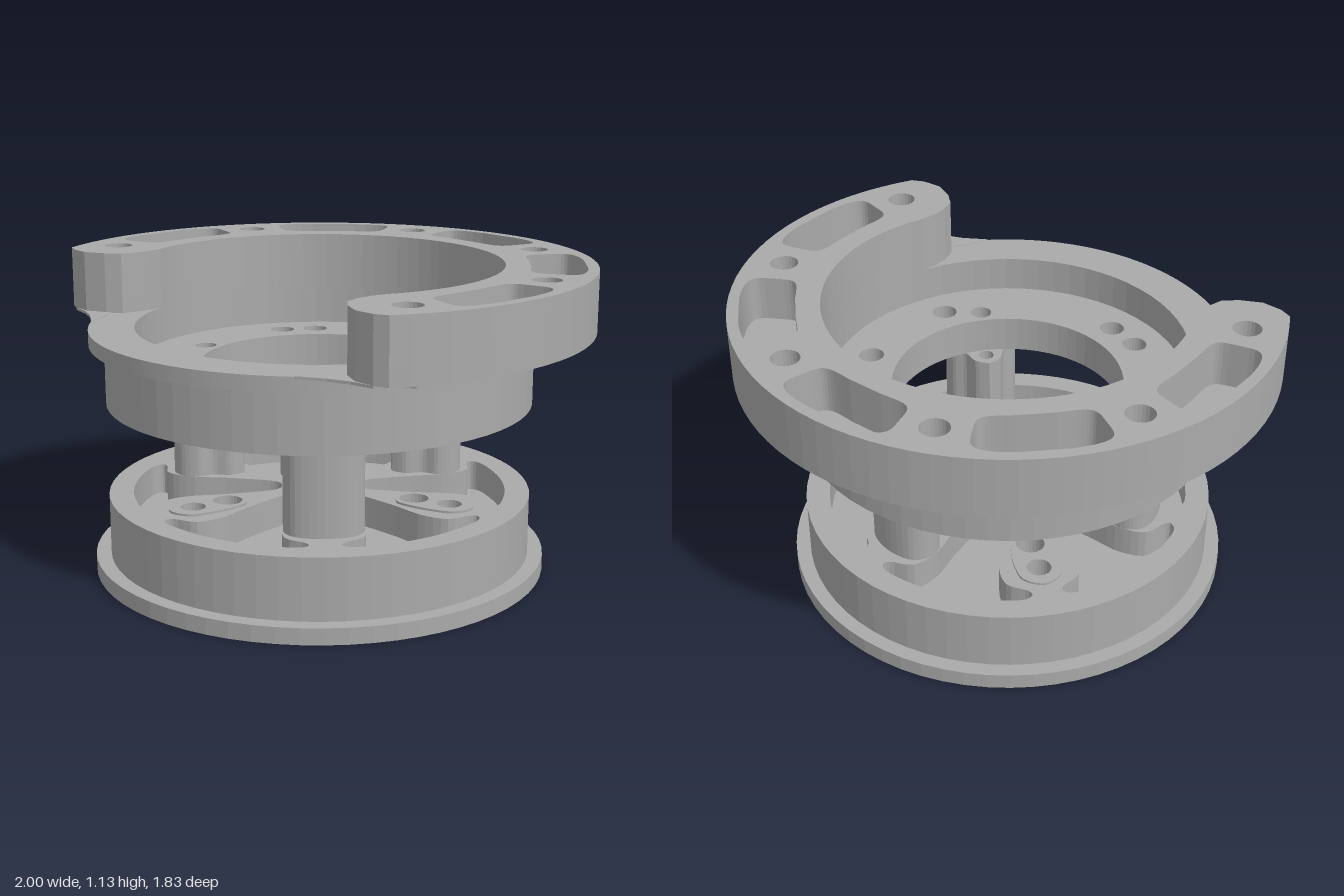
import * as THREE from 'three';

const metal = new THREE.MeshStandardMaterial({ color: 0xaaaaaa });
metal.name = 'greyMetal';

// Point on the plan, from radius and angle in degrees
const polar = (r, deg) => {
  const a = THREE.MathUtils.degToRad(deg);
  return new THREE.Vector2(r * Math.cos(a), r * Math.sin(a));
};

const arc = (r, from, to, n) =>
  Array.from({ length: n + 1 }, (_, i) => polar(r, from + ((to - from) * i) / n));

const circle = (r, at = new THREE.Vector2(), n = 24) =>
  arc(r, 0, 360, n).slice(0, n).map((p) => p.add(at));

// Smooth closed outline through a few points
const smooth = (pts, n = 48) =>
  new THREE.SplineCurve([...pts, pts[0].clone()]).getPoints(n).slice(0, n);

// Flat plate with holes, from height y0 to y1
function plate(parent, name, outline, holes, y0, y1) {
  const shape = new THREE.Shape(outline);
  shape.holes = holes.map((h) => new THREE.Path(h));
  const geo = new THREE.ExtrudeGeometry(shape, { depth: y1 - y0, bevelEnabled: false });
  geo.rotateX(Math.PI / 2).translate(0, y1, 0);
  const mesh = new THREE.Mesh(geo, metal);
  mesh.name = name;
  parent.add(mesh);
}

const POSTS = [-53, 67, 187];
const PADS = [7, 127, 247];
const BOLTS = [-175, -130, -85, -40, 5, 50];

// Lightening pocket between two spokes of the base
function petal(center) {
  const half = [[0.15, 12], [0.2, 18], [0.36, 16], [0.5, 14], [0.6, 17], [0.64, 24], [0.67, 25], [0.69, 21]];
  const pts = [
    polar(0.14, center),
    ...half.map(([r, d]) => polar(r, center + d)),
    polar(0.69, center + 10),
    polar(0.69, center),
    polar(0.69, center - 10),
    ...half.slice().reverse().map(([r, d]) => polar(r, center - d)),
  ];
  return smooth(pts, 72);
}

// Rounded ring-sector pocket of the top ring
function sector(center) {
  const soft = (v) => Math.sign(v) * Math.abs(v) ** 0.4;
  return Array.from({ length: 40 }, (_, i) => {
    const t = ((i + 0.5) / 40) * Math.PI * 2;
    return polar(0.86 + 0.1 * soft(Math.sin(t)), center + 14.5 * soft(Math.cos(t)));
  });
}

// Flange rim, notched where the bolt holes pass
function notchedRim() {
  const d = 0.86, h = 0.052;
  return Array.from({ length: 360 }, (_, deg) => {
    let r = 0.835;
    for (const b of BOLTS) {
      const a = THREE.MathUtils.degToRad(deg - b);
      const k = h * h - (d * Math.sin(a)) ** 2;
      if (Math.cos(a) > 0 && k > 0) r = Math.min(r, d * Math.cos(a) - Math.sqrt(k));
    }
    return polar(r, deg);
  });
}

// Open ring outline; its two ends mirror about one axis
const END = [[0.969, 59], [0.908, 61.7], [0.823, 62.6], [0.76, 62], [0.715, 59], [0.685, 55]];
const mirror = (deg) => 234.6 - deg;
const ringOutline = () => [
  ...arc(1, mirror(56.5) - 360, 56.5, 60),
  ...END.map(([r, d]) => polar(r, d)),
  ...arc(0.67, 50, mirror(50) - 360, 54),
  ...END.slice().reverse().map(([r, d]) => polar(r, mirror(d))),
];

function buildBase(parent) {
  const petals = POSTS.flatMap((a) => [petal(a + 30), petal(a + 90)]);
  const padHoles = PADS.map((a) => circle(0.053, polar(0.39, a)));
  const outerPadHoles = PADS.map((a) => circle(0.045, polar(0.53, a)));
  const postHoles = POSTS.map((a) => circle(0.04, polar(0.49, a)));
  const counterbores = POSTS.map((a) => circle(0.09, polar(0.49, a)));
  const rimHoles = [...POSTS, ...PADS].map((a) => circle(0.03, polar(0.73, a), 16));
  const body = circle(0.78, undefined, 64);

  plate(parent, 'baseFlange', circle(0.835, undefined, 64),
    [...petals, ...padHoles, ...counterbores, ...rimHoles], 0, 0.06);
  plate(parent, 'baseLower', body, [...petals, ...padHoles, ...counterbores], 0.06, 0.1);
  plate(parent, 'baseWeb', body, [...padHoles, ...postHoles], 0.1, 0.17);
  plate(parent, 'baseUpper', body, [...petals, ...padHoles, ...outerPadHoles, ...postHoles], 0.17, 0.285);

  // Raised oval pads, each with two holes
  PADS.forEach((a, i) => {
    const at = (r, t) => polar(r, a).add(polar(t, a + 90));
    const oval = [at(0.32, 0), at(0.35, 0.06), at(0.42, 0.08), at(0.5, 0.085), at(0.58, 0.07), at(0.62, 0),
      at(0.58, -0.07), at(0.5, -0.085), at(0.42, -0.08), at(0.35, -0.06)];
    plate(parent, 'pad', smooth(oval), [padHoles[i], outerPadHoles[i]], 0.285, 0.293);
  });
}

function buildPosts(parent) {
  const side = [[0.36, 0.05], [0.42, 0.075], [0.455, 0.125], [0.52, 0.14], [0.58, 0.1]];
  for (const a of POSTS) {
    const at = (r, t) => polar(r, a).add(polar(t, a + 90));
    const outline = [at(0.33, 0), ...side.map(([r, t]) => at(r, t)), at(0.602, 0),
      ...side.slice().reverse().map(([r, t]) => at(r, -t))];
    plate(parent, 'post', smooth(outline),
      [circle(0.04, at(0.49, 0)), circle(0.03, at(0.394, 0), 16)], 0.285, 0.63);
  }
}

function buildCup(parent) {
  const bore = circle(0.67, undefined, 64);
  const body = circle(0.78, undefined, 64);
  const floorHoles = [
    ...POSTS.map((a) => circle(0.04, polar(0.49, a))),
    ...[-38, 7, 52, 128, 143, -127, -113].map((a) => circle(0.047, polar(0.543, a))),
  ];
  plate(parent, 'cupFloor', body, [circle(0.43, undefined, 64), ...floorHoles], 0.63, 0.77);
  plate(parent, 'cupWall', body, [bore], 0.77, 0.85);
  plate(parent, 'cupFlange', notchedRim(), [bore], 0.85, 0.905);
}

function buildRing(parent) {
  const bolts = BOLTS.map((a) => circle(0.052, polar(0.86, a)));
  const pockets = BOLTS.slice(0, 5).map((a) => sector(a + 22.5));
  plate(parent, 'ringFloor', ringOutline(), bolts, 0.905, 0.96);
  plate(parent, 'ringWalls', ringOutline(), [...bolts, ...pockets], 0.96, 1.13);

  // Thin lips blending the ring ends into the flange
  const lip = [[0.969, 59], [0.908, 62.5], [0.865, 67], [0.835, 74], [0.8, 66], [0.82, 60]];
  for (const f of [(d) => d, mirror])
    plate(parent, 'ringEndLip', lip.map(([r, d]) => polar(r, f(d))), [], 0.897, 0.907);
}

export function createModel() {
  const model = new THREE.Group();
  model.name = 'flangedHousing';
  const parts = { base: buildBase, posts: buildPosts, cup: buildCup, topRing: buildRing };
  for (const [name, build] of Object.entries(parts)) {
    const group = new THREE.Group();
    group.name = name;
    group.position.z = 0.08;
    build(group);
    model.add(group);
  }
  return model;
}
